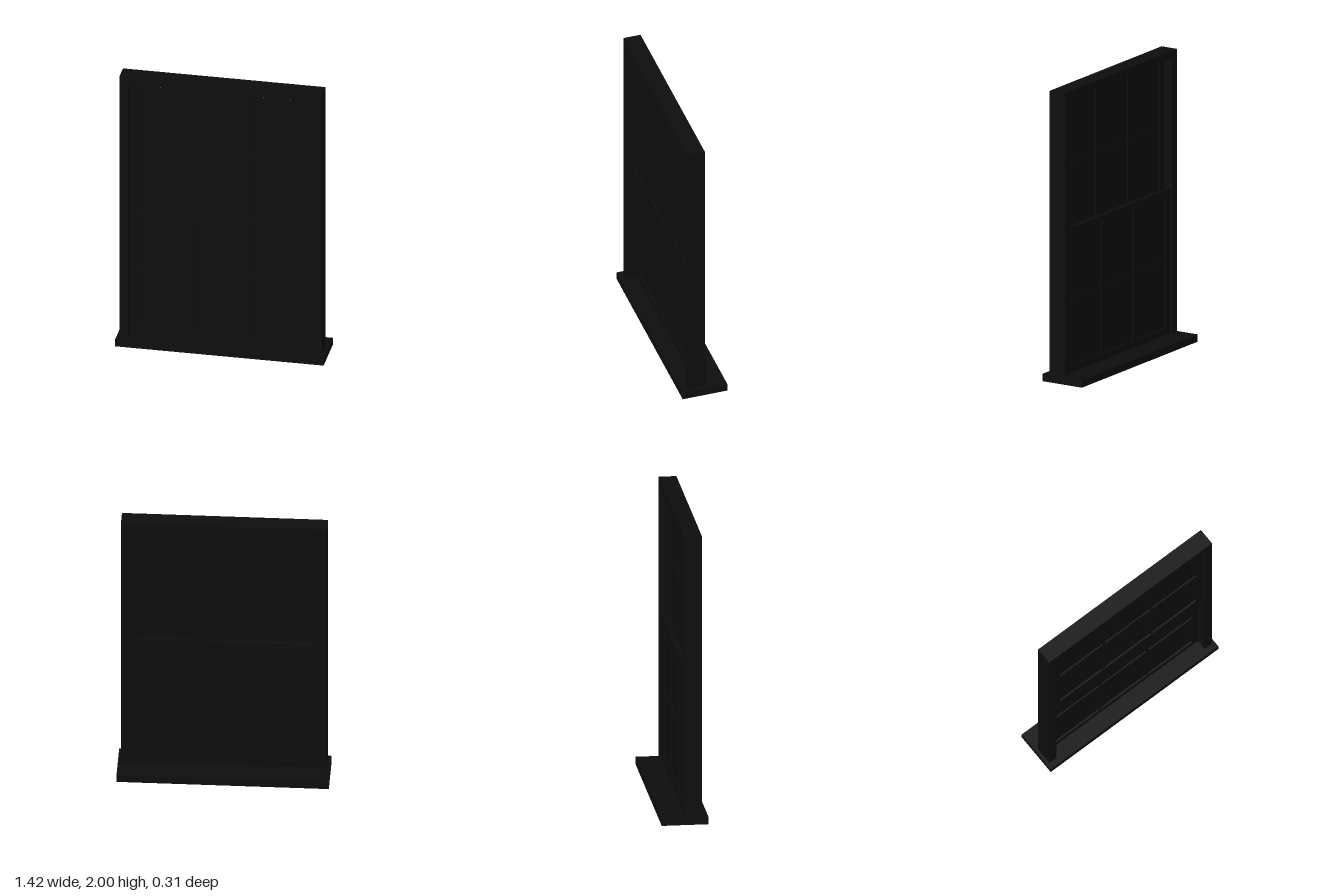
import * as THREE from 'three';

const paint = new THREE.MeshStandardMaterial({ color: 0x0d0d0d });
paint.name = 'black paint';

// Box given by its limits on each axis
function slab(parent, name, x0, x1, y0, y1, z0, z1) {
  const mesh = new THREE.Mesh(new THREE.BoxGeometry(x1 - x0, y1 - y0, z1 - z0), paint);
  mesh.position.set((x0 + x1) / 2, (y0 + y1) / 2, (z0 + z1) / 2);
  mesh.name = name;
  parent.add(mesh);
}

// Six-pane sash: outer limits y0..y1, pane opening p0..p1, glass g0..g1
function sash(name, y0, y1, p0, p1, g0, g1, z0, z1) {
  const group = new THREE.Group();
  group.name = name;
  const outer = 0.625, inner = 0.575, zm = (z0 + z1) / 2;
  slab(group, 'stileRight', -outer, -inner, y0, y1, z0, z1);
  slab(group, 'stileLeft', inner, outer, y0, y1, z0, z1);
  slab(group, 'bottomRail', -inner, inner, y0, p0, z0, z1);
  slab(group, 'topRail', -inner, inner, p1, y1, z0, z1);
  slab(group, 'glass', -inner, inner, g0, g1, zm - 0.003, zm + 0.003);
  for (const x of [-0.2, 0.2]) {
    slab(group, 'verticalBar', x - 0.009, x + 0.009, p0, p1, z0 + 0.003, z1 - 0.003);
  }
  // Horizontal bar in three lengths between the vertical bars
  const mid = (p0 + p1) / 2;
  for (const [a, b] of [[-inner, -0.209], [-0.191, 0.191], [0.209, inner]]) {
    slab(group, 'horizontalBar', a, b, mid - 0.009, mid + 0.009, z0 + 0.003, z1 - 0.003);
  }
  return group;
}

export function createModel() {
  const model = new THREE.Group();
  model.name = 'sashWindow';

  // Sill projecting front and back
  slab(model, 'sill', -0.708, 0.708, 0, 0.05, -0.157, 0.157);

  // Outer frame
  const frame = new THREE.Group();
  frame.name = 'frame';
  slab(frame, 'jambRight', -0.687, -0.625, 0.05, 2, -0.005, 0.115);
  slab(frame, 'jambLeft', 0.625, 0.687, 0.05, 2, -0.005, 0.115);
  slab(frame, 'head', -0.625, 0.625, 1.95, 2, -0.005, 0.115);
  model.add(frame);

  // Upper sash sits forward of the lower one; its glass stops short of the top rail
  model.add(sash('upperSash', 0.95, 1.95, 1.0, 1.93, 1.0, 1.92, 0.056, 0.088));
  model.add(sash('lowerSash', 0.05, 1.05, 0.1, 1.0, 0.1, 1.0, 0.01, 0.042));
  return model;
}
